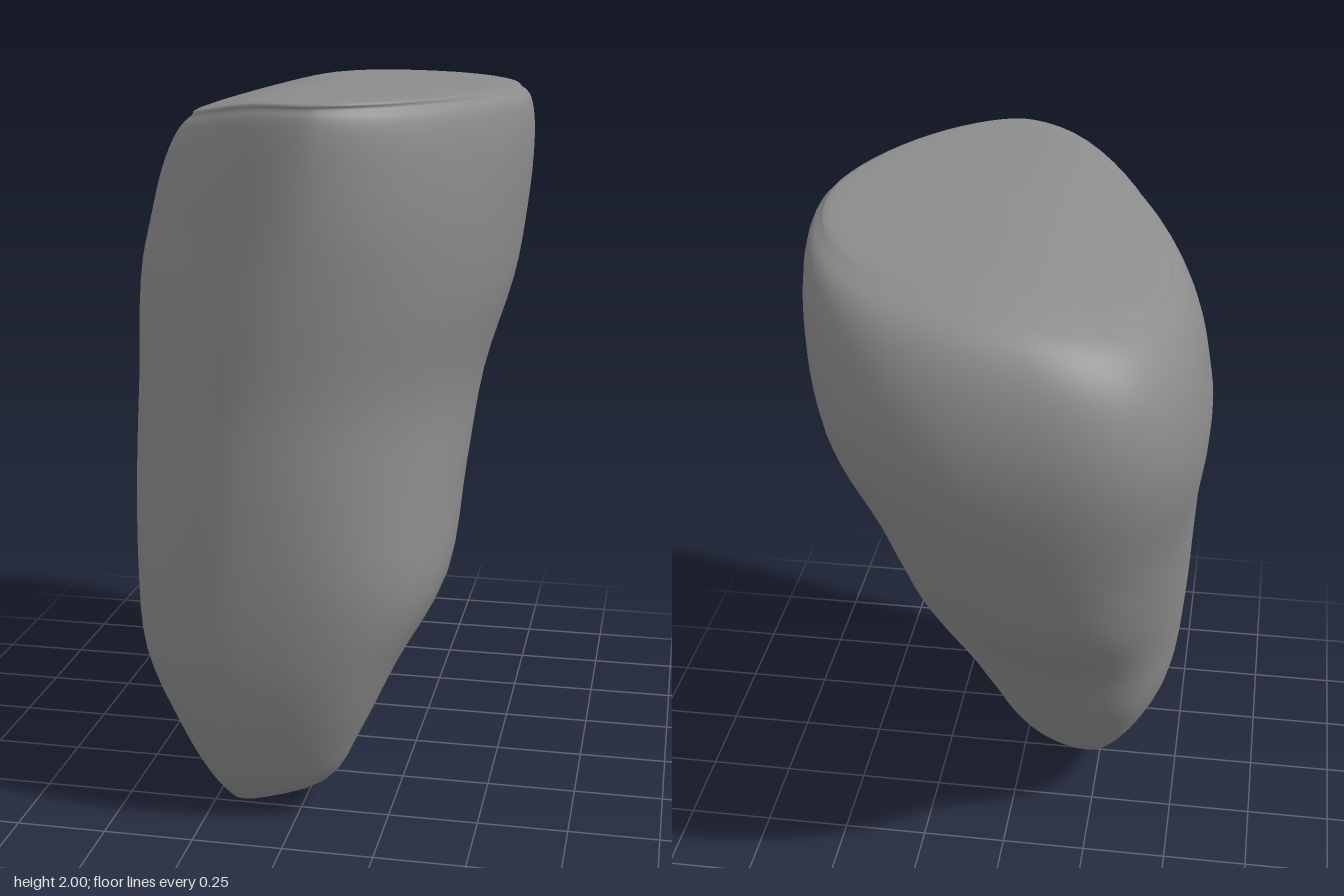
import * as THREE from 'three';

// Horizontal sections, bottom to top: y, right x, left x, back z, front z,
// x of front point, x of back point, z of right point, z of left point
const outlines = [
  [0.00, -0.17, -0.17, 0.45, 0.45, -0.17, -0.17, 0.45, 0.45],
  [0.01, -0.21, -0.12, 0.36, 0.50, -0.17, -0.19, 0.45, 0.47],
  [0.10, -0.29, 0.08, 0.12, 0.585, -0.15, -0.21, 0.38, 0.46],
  [0.25, -0.38, 0.17, -0.04, 0.65, -0.14, -0.25, 0.34, 0.44],
  [0.45, -0.475, 0.265, -0.18, 0.705, -0.12, -0.24, 0.30, 0.40],
  [0.68, -0.505, 0.385, -0.315, 0.735, -0.1, -0.19, 0.24, 0.34],
  [0.95, -0.52, 0.415, -0.54, 0.75, -0.08, -0.15, 0.16, 0.24],
  [1.20, -0.535, 0.445, -0.67, 0.755, -0.06, -0.12, 0.04, 0.15],
  [1.45, -0.56, 0.515, -0.755, 0.77, -0.02, -0.1, -0.1, 0.1],
  [1.65, -0.55, 0.545, -0.78, 0.775, 0.03, -0.08, -0.16, 0.08],
  [1.82, -0.525, 0.56, -0.755, 0.77, 0.06, -0.06, -0.18, 0.08],
  [1.93, -0.485, 0.555, -0.69, 0.76, 0.08, -0.04, -0.18, 0.08],
  [1.975, -0.44, 0.53, -0.59, 0.74, 0.08, -0.04, -0.18, 0.08],
  [1.995, -0.38, 0.46, -0.45, 0.68, 0.08, -0.03, -0.16, 0.07],
  [2.00, 0.04, 0.04, 0.03, 0.03, 0.04, 0.04, 0.03, 0.03]
];

// Corner shape of each section: front right, front left, back right, back left
// (1 is elliptic, less is squarer, more is flatter-faced)
const corners = [
  [1, 1, 1, 1], [0.95, 0.8, 1, 1], [0.85, 0.65, 0.8, 1.15], [0.85, 0.6, 0.72, 1.2], [0.87, 0.65, 0.74, 1.2],
  [0.9, 0.76, 0.78, 1.18], [0.94, 0.9, 0.8, 1.1], [0.98, 0.97, 0.77, 0.98], [1.03, 1, 0.71, 0.84], [1.1, 1.05, 0.68, 0.81],
  [1.15, 1.14, 0.68, 0.85], [1.18, 1.22, 0.7, 0.9], [1.2, 1.25, 0.72, 0.93], [1.18, 1.22, 0.75, 0.95], [1, 1, 1, 1]
];
const sections = outlines.map((outline, i) => [...outline, ...corners[i]]);

// Smooth interpolation between neighbouring sections
function sectionAt(u) {
  const last = sections.length - 1;
  const i = Math.min(Math.floor(u), last - 1), t = u - i;
  const [a, b, c, d] = [i - 1, i, i + 1, i + 2].map(k => sections[THREE.MathUtils.clamp(k, 0, last)]);
  return b.map((p, k) => {
    const m0 = (c[k] - a[k]) / 2, m1 = (d[k] - p) / 2;
    return p + t * (m0 + t * (3 * (c[k] - p) - 2 * m0 - m1 + t * (2 * (p - c[k]) + m0 + m1)));
  });
}

function stoneGeometry(segments = 64, steps = 4) {
  const rings = (sections.length - 1) * steps;
  const positions = [], index = [];
  for (let r = 0; r <= rings; r++) {
    const [y, xR, xL, zB, zF, xFront, xBack, zR, zL, eFR, eFL, eBR, eBL] = sectionAt(r / steps);
    for (let j = 0; j < segments; j++) {
      const angle = j / segments * Math.PI * 2;
      const s = Math.sin(angle), c = Math.cos(angle);
      const e = c > 0 ? (s > 0 ? eFL : eFR) : (s > 0 ? eBL : eBR);
      const xMid = c > 0 ? xFront : xBack;
      const zMid = s > 0 ? zL : zR;
      const x = xMid + ((s > 0 ? xL : xR) - xMid) * Math.abs(s) ** e;
      const z = zMid + ((c > 0 ? zF : zB) - zMid) * Math.abs(c) ** e;
      // The top face dips gently toward the right side
      const beyond = -0.1 - x;
      const dip = Math.max(0, (y - 1.5) / 0.5) * 0.14 * (beyond + Math.hypot(beyond, 0.1));
      positions.push(x, THREE.MathUtils.clamp(y - dip, 0, 2), z);
      if (r < rings) {
        const a = r * segments + j, b = r * segments + (j + 1) % segments;
        index.push(a, b, a + segments, b, b + segments, a + segments);
      }
    }
  }
  const geometry = new THREE.BufferGeometry();
  geometry.setAttribute('position', new THREE.Float32BufferAttribute(positions, 3));
  geometry.setIndex(index);
  geometry.computeVertexNormals();
  return geometry;
}

export function createModel() {
  const group = new THREE.Group();
  group.name = 'rock';
  const stone = new THREE.Mesh(stoneGeometry(), new THREE.MeshStandardMaterial({ color: 0x8c8c8c }));
  stone.name = 'stone';
  group.add(stone);
  return group;
}
